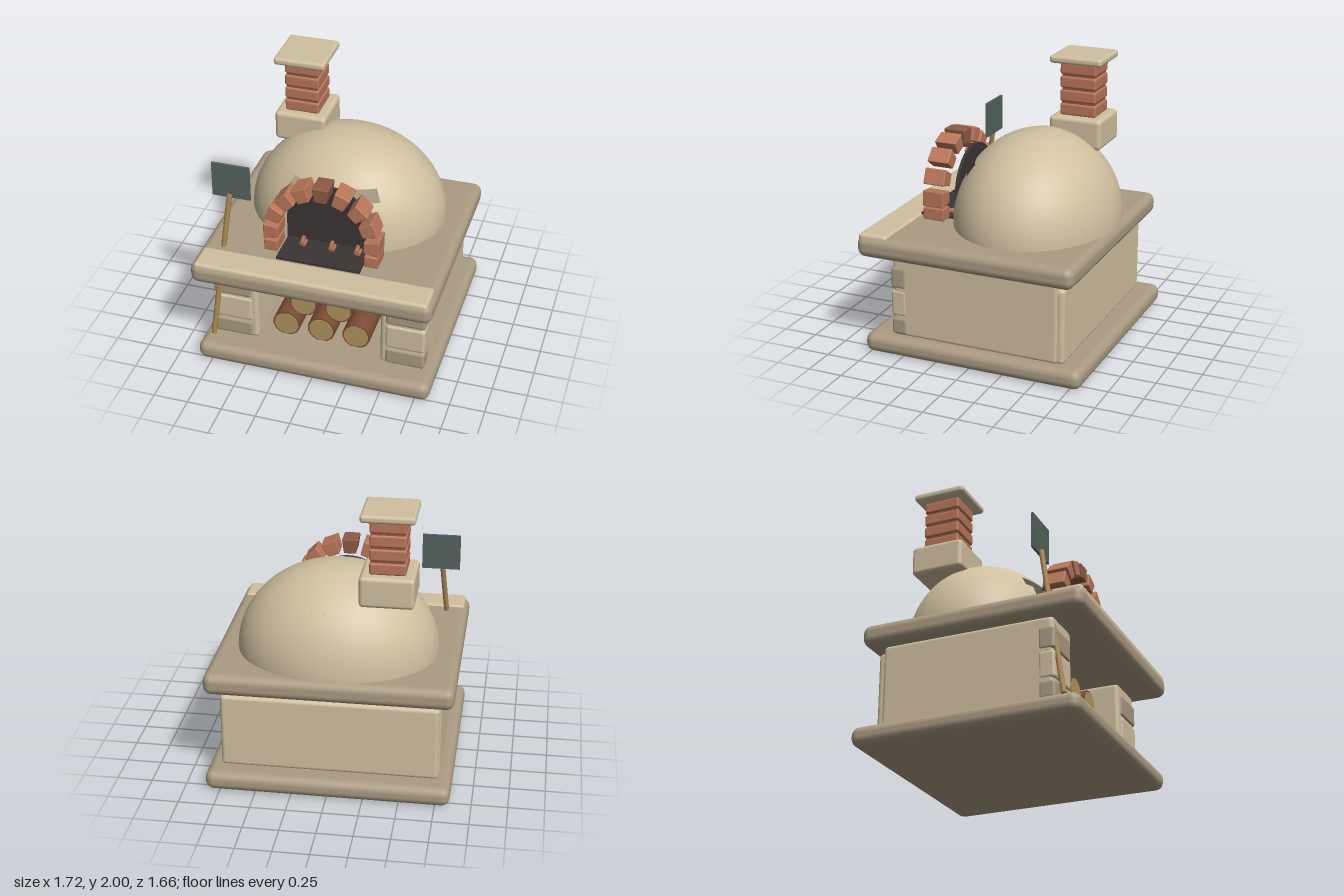
import * as THREE from 'three';
import { RoundedBoxGeometry } from 'three/addons/geometries/RoundedBoxGeometry.js';

const mat = (name, color, side = THREE.FrontSide) => {
  const m = new THREE.MeshStandardMaterial({ color, side });
  m.name = name;
  return m;
};

export function createModel() {
  const root = new THREE.Group();
  root.name = 'brickOven';
  const cream = mat('cream plaster', 0xd0c0a0, THREE.DoubleSide);
  const tan = mat('tan stone', 0xaa9b82);
  const brick = mat('red brick', 0xb9765a);
  const darkBrick = mat('dark brick', 0x8c5a45);
  const soot = mat('soot black', 0x3c3435);
  const bark = mat('bark', 0x7d4e35);
  const cutWood = mat('cut wood', 0xb0945f);
  const handleWood = mat('handle wood', 0xa88650);
  const iron = mat('iron', 0x55635d);

  const add = (name, geo, material, parent = root) => {
    const m = new THREE.Mesh(geo, material);
    m.name = name;
    parent.add(m);
    return m;
  };
  const group = (name) => {
    const g = new THREE.Group();
    g.name = name;
    root.add(g);
    return g;
  };
  // Rounded block given by its extents on each axis
  const block = (name, [x0, x1], [y0, y1], [z0, z1], r, material, parent) => {
    const m = add(name, new RoundedBoxGeometry(x1 - x0, y1 - y0, z1 - z0, 3, r), material, parent);
    m.position.set((x0 + x1) / 2, (y0 + y1) / 2, (z0 + z1) / 2);
    return m;
  };
  // Cylinder between two points
  const rod = (name, a, b, r, sides, material, parent) => {
    const p = new THREE.Vector3(...a), q = new THREE.Vector3(...b);
    const d = q.clone().sub(p);
    const m = add(name, new THREE.CylinderGeometry(r, r, d.length(), sides), material, parent);
    m.position.copy(p).add(q).multiplyScalar(0.5);
    m.quaternion.setFromUnitVectors(new THREE.Vector3(0, 1, 0), d.normalize());
    return m;
  };

  // Slabs and front ledge
  block('baseSlab', [-0.853, 0.853], [0, 0.14], [-0.83, 0.79], 0.06, tan);
  block('counterSlab', [-0.86, 0.86], [0.71, 0.865], [-0.77, 0.83], 0.06, tan);
  block('frontLedge', [-0.83, 0.83], [0.79, 0.878], [0.6, 0.822], 0.025, cream);

  // Wood store: side walls, corner stones, back wall
  for (const s of [1, -1]) {
    const span = (a, b) => (s > 0 ? [a, b] : [-b, -a]);
    const side = s > 0 ? 'left' : 'right';
    block(side + 'Wall', span(0.45, 0.77), [0.13, 0.72], [-0.64, 0.595], 0.03, cream);
    [[0.14, 0.27], [0.28, 0.475], [0.485, 0.645]].forEach((y, i) =>
      block(side + 'CornerStone', span(0.49, 0.775), y, [0.49, 0.607], 0.022, i === 1 ? cream : tan));
  }
  block('backWall', [-0.76, 0.76], [0.13, 0.675], [-0.68, -0.59], 0.03, cream);
  const storeBack = add('storeBackPanel', new THREE.BoxGeometry(0.92, 0.475, 0.02), soot);
  storeBack.position.set(0, 0.378, -0.58);

  // Stacked logs with pale cut ends
  const logs = group('logs');
  for (const [x, y] of [[-0.27, 0.235], [-0.01, 0.235], [0.25, 0.235], [-0.14, 0.44], [0.12, 0.44]]) {
    rod('logBark', [x, y, -0.35], [x, y, 0.5], 0.102, 14, bark, logs);
    rod('logCut', [x, y, -0.354], [x, y, 0.504], 0.09, 14, cutWood, logs);
  }

  // Dome in bands, the lower two left open at the mouth
  const dome = group('dome');
  const rad = THREE.MathUtils.degToRad;
  for (const [t0, t1, gap, rows] of [[0, 47.8, 0, 20], [47.8, 56.9, 34.5, 4], [56.9, 90, 27.7, 14]]) {
    const g = new THREE.SphereGeometry(1, 64, rows, rad(90 + gap), rad(360 - 2 * gap), rad(t0), rad(t1 - t0));
    g.scale(0.71, 0.64, 0.58);
    add('domeShell', g, cream, dome).position.set(0, 0.87, -0.18);
  }

  // Dark mouth and hearth floor
  const mouth = new THREE.Shape();
  mouth.moveTo(-0.305, 0.87);
  mouth.lineTo(0.305, 0.87);
  mouth.lineTo(0.305, 1.045);
  mouth.absarc(0, 1.045, 0.305, 0, Math.PI, false);
  mouth.closePath();
  add('mouthPanel', new THREE.ExtrudeGeometry(mouth, { depth: 0.02, bevelEnabled: false, curveSegments: 32 }), soot)
    .position.z = 0.312;
  add('hearthFloor', new THREE.BoxGeometry(0.6, 0.018, 0.4), soot).position.set(0, 0.882, 0.4);

  // Arch of wedge bricks on two footing bricks
  const arch = group('arch');
  const wedge = new RoundedBoxGeometry(0.103, 0.108, 0.16, 2, 0.008);
  const p = wedge.attributes.position;
  for (let i = 0; i < p.count; i++) p.setX(i, p.getX(i) * (1 + p.getY(i) / 0.36));
  wedge.computeVertexNormals();
  for (let i = 0; i < 9; i++) {
    const a = (i - 4) * Math.PI / 8;
    const b = add('archBrick', wedge, i === 4 ? darkBrick : brick, arch);
    b.position.set(-Math.sin(a) * 0.36, 1.04 + Math.cos(a) * 0.36, 0.45);
    b.rotation.z = a;
  }
  for (const s of [-0.36, 0.36])
    block('footingBrick', [s - 0.05, s + 0.05], [0.885, 0.972], [0.37, 0.53], 0.008, brick, arch);

  // Embers on the hearth
  const embers = group('embers');
  for (const x of [-0.18, 0.03, 0.215]) {
    rod('ember', [x, 0.91, 0.345], [x + 0.008, 0.905, 0.42], 0.016, 6, brick, embers);
    rod('ember', [x + 0.028, 0.908, 0.375], [x + 0.028, 0.905, 0.43], 0.014, 6, brick, embers);
  }

  // Chimney
  const chimney = group('chimney');
  block('chimneyBase', [-0.56, -0.185], [1.345, 1.565], [-0.562, -0.175], 0.03, cream, chimney);
  for (let i = 0; i < 4; i++) {
    const y = 1.563 + i * 0.0985;
    block('chimneyCourse', [-0.497, -0.248], [y, y + 0.085], [-0.5, -0.232], 0.015, brick, chimney);
  }
  block('chimneyCore', [-0.485, -0.26], [1.55, 1.95], [-0.488, -0.244], 0.005, darkBrick, chimney);
  block('chimneyCap', [-0.558, -0.188], [1.945, 2], [-0.557, -0.172], 0.022, cream, chimney);

  // Peel leaning on the counter
  const peel = group('peel');
  rod('peelHandle', [-0.768, 0.16, 0.663], [-0.668, 1.26, 0.478], 0.019, 10, handleWood, peel);
  add('peelBlade', new THREE.BoxGeometry(0.275, 0.262, 0.016), iron, peel).position.set(-0.658, 1.362, 0.465);

  return root;
}
